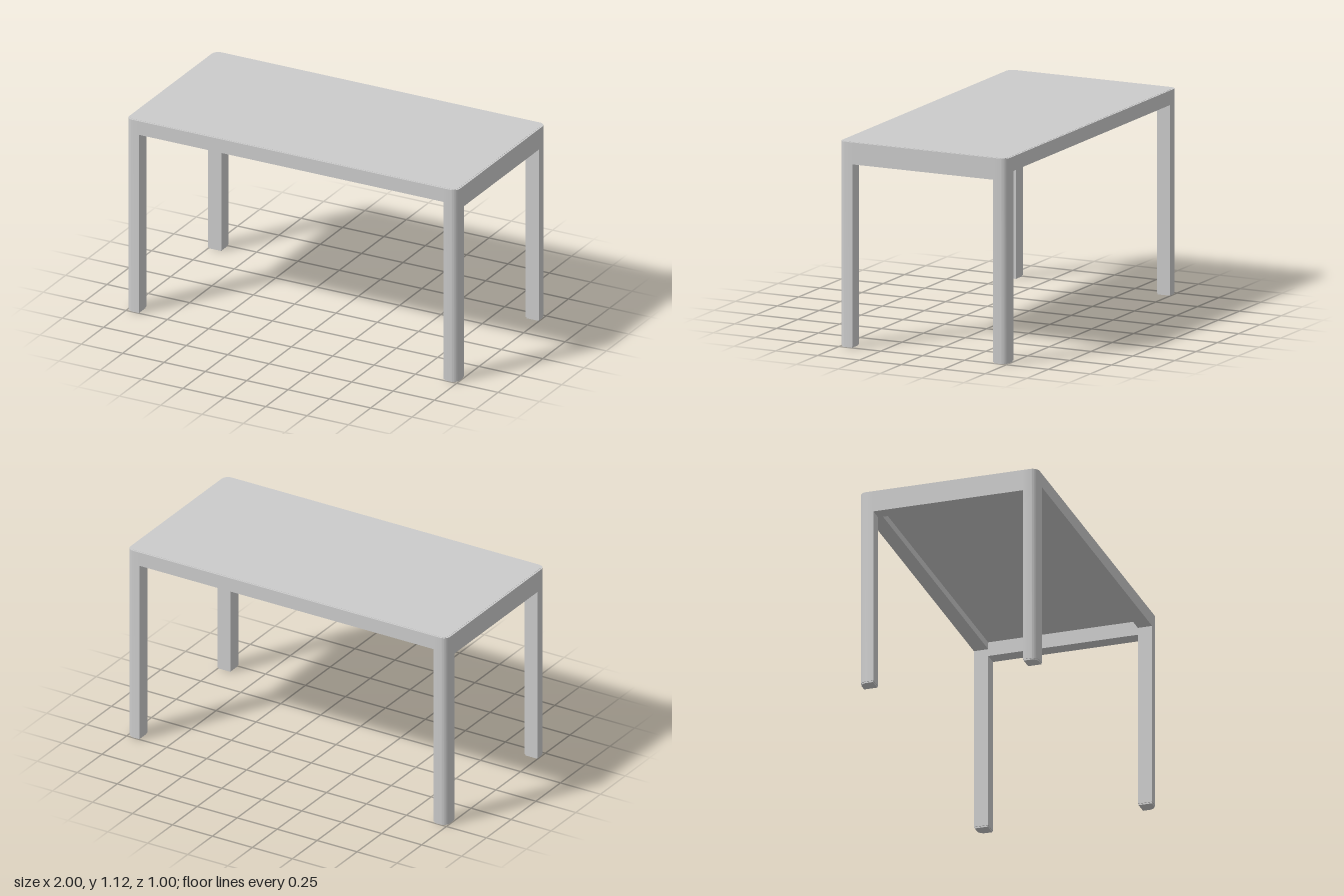
import * as THREE from 'three';
import { toCreasedNormals } from 'three/addons/utils/BufferGeometryUtils.js';

const W = 2, D = 1, H = 1.12;      // overall size
const LEG = 0.08, RADIUS = 0.04;   // square section, rounded outer corner
const FOOT = 0.008, FRAME_TOP = H - 0.001;

const material = new THREE.MeshStandardMaterial({ color: 0xcccccc });

// Rectangle centred on the origin; radii in order (+,+), (-,+), (-,-), (+,-)
function roundedRect(w, d, radii) {
  const shape = new THREE.Shape();
  const signs = [[1, 1], [-1, 1], [-1, -1], [1, -1]];
  signs.forEach(([sx, sy], i) => {
    const r = radii[i], x = sx * w / 2, y = sy * d / 2;
    if (r > 0) shape.absarc(x - sx * r, y - sy * r, r, i * Math.PI / 2, (i + 1) * Math.PI / 2, false);
    else if (i === 0) shape.moveTo(x, y);
    else shape.lineTo(x, y);
  });
  shape.closePath();
  return shape;
}

// Extrudes a plan shape upwards from y0 to y1
function upright(shape, y0, y1) {
  const geometry = new THREE.ExtrudeGeometry(shape, { depth: y1 - y0, bevelEnabled: false, curveSegments: 8 });
  geometry.rotateX(-Math.PI / 2).translate(0, y0, 0);
  return toCreasedNormals(geometry, Math.PI / 6);
}

function addMesh(parent, name, geometry, x = 0, y = 0, z = 0) {
  const mesh = new THREE.Mesh(geometry, material);
  mesh.name = name;
  mesh.position.set(x, y, z);
  parent.add(mesh);
  return mesh;
}

export function createModel() {
  const table = new THREE.Group();
  table.name = 'table';

  // Legs with slightly inset foot pads, turned so the round corner faces outwards
  const legGeometry = upright(roundedRect(LEG, LEG, [RADIUS, 0, 0, 0]), FOOT, FRAME_TOP);
  const pad = LEG - 0.006;
  const footGeometry = upright(roundedRect(pad, pad, [RADIUS - 0.003, 0, 0, 0]), 0, FOOT);
  const corners = [['backLeft', 1, -1], ['backRight', -1, -1], ['frontRight', -1, 1], ['frontLeft', 1, 1]];
  corners.forEach(([name, sx, sz], i) => {
    const leg = new THREE.Group();
    leg.name = name + 'Leg';
    leg.position.set(sx * (W - LEG) / 2, 0, sz * (D - LEG) / 2);
    leg.rotation.y = i * Math.PI / 2;
    addMesh(leg, 'legPost', legGeometry);
    addMesh(leg, 'footPad', footGeometry);
    table.add(leg);
  });

  // Shallow long rails and deeper end rails between the legs
  const longHeight = FRAME_TOP - 1.04, endHeight = FRAME_TOP - 1.0;
  const longRail = new THREE.BoxGeometry(W - 2 * LEG, longHeight, LEG);
  const endRail = new THREE.BoxGeometry(LEG, endHeight, D - 2 * LEG);
  for (const s of [1, -1]) {
    addMesh(table, s > 0 ? 'frontRail' : 'backRail', longRail, 0, FRAME_TOP - longHeight / 2, s * (D - LEG) / 2);
    addMesh(table, s > 0 ? 'leftEndRail' : 'rightEndRail', endRail, s * (W - LEG) / 2, FRAME_TOP - endHeight / 2, 0);
  }

  // Top panel let into the frame
  const inset = 0.01;
  const panel = roundedRect(W - 2 * inset, D - 2 * inset, Array(4).fill(RADIUS - inset));
  addMesh(table, 'topPanel', upright(panel, 1.08, H));

  return table;
}
